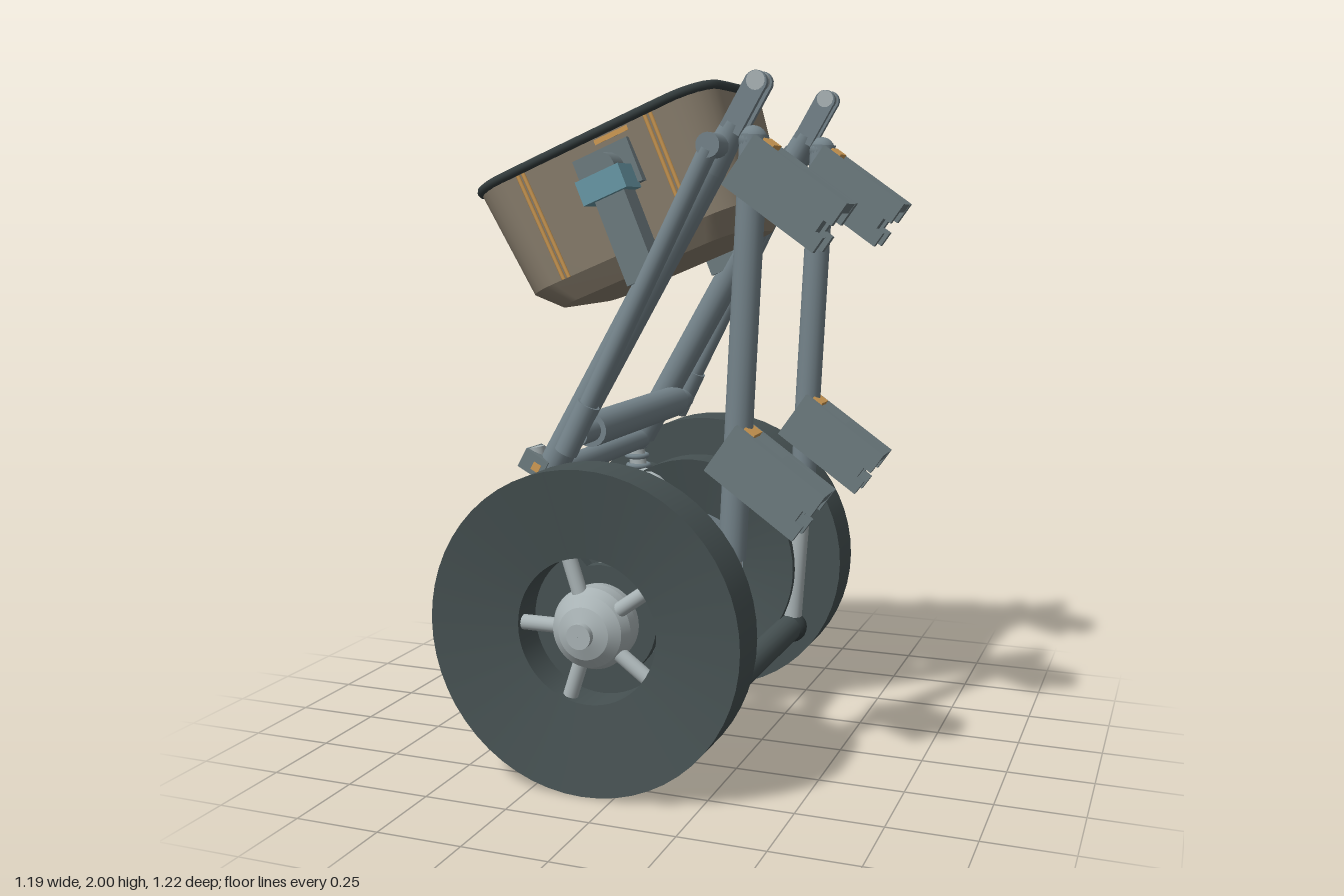
import * as THREE from 'three';

const mat = (name, color, side = THREE.FrontSide) => {
  const m = new THREE.MeshStandardMaterial({ color, side });
  m.name = name;
  return m;
};
const V = (x, y, z) => new THREE.Vector3(x, y, z);

export function createModel() {
  const steel = mat('steel grey', 0x74838a);
  const plate = mat('plate grey', 0x6d7b7f);
  const light = mat('light metal', 0xa9b3b5);
  const tyre = mat('tyre grey', 0x465152, THREE.DoubleSide);
  const dark = mat('dark trim', 0x343d3e);
  const tan = mat('tub tan', 0x8b806f, THREE.DoubleSide);
  const liner = mat('liner grey', 0x4c5857, THREE.DoubleSide);
  const orange = mat('orange accent', 0xcf9b54);
  const teal = mat('teal clamp', 0x6898a6);

  const root = new THREE.Group();
  root.name = 'wheeledCarrier';
  const add = (parent, name, geo, m, x = 0, y = 0, z = 0) => {
    const mesh = new THREE.Mesh(geo, m);
    mesh.name = name;
    mesh.position.set(x, y, z);
    parent.add(mesh);
    return mesh;
  };
  const box = (p, name, m, w, h, d, x, y, z) => add(p, name, new THREE.BoxGeometry(w, h, d), m, x, y, z);
  // place a mesh built along y between two points
  const aim = (mesh, a, b) => {
    mesh.position.copy(a).add(b).multiplyScalar(0.5);
    mesh.quaternion.setFromUnitVectors(V(0, 1, 0), b.clone().sub(a).normalize());
    return mesh;
  };
  const rod = (p, name, m, a, b, r, r2 = r, seg = 18) =>
    aim(add(p, name, new THREE.CylinderGeometry(r2, r, a.distanceTo(b), seg), m), a, b);
  const ball = (p, name, m, c, r) => add(p, name, new THREE.SphereGeometry(r, 18, 12), m, c.x, c.y, c.z);

  // ---- wheels: profiles are [radius, distance from the middle] ----
  const CX = -0.09, CY = 0.467;
  const spin = (p, name, m, pts, s) => {
    const g = new THREE.LatheGeometry(pts.map(([r, z]) => new THREE.Vector2(r, z)), 56);
    const mesh = add(p, name, g.toNonIndexed(), m, CX, CY, 0);
    mesh.rotation.x = s * Math.PI / 2;
    // keep the profile edges crisp while the surface stays round
    const pos = mesh.geometry.attributes.position, nor = mesh.geometry.attributes.normal;
    const a = V(), b = V(), c = V();
    for (let i = 0; i < pos.count; i += 3) {
      a.fromBufferAttribute(pos, i); b.fromBufferAttribute(pos, i + 1); c.fromBufferAttribute(pos, i + 2);
      const n = b.clone().sub(a).cross(c.clone().sub(a)).normalize();
      const mid = a.clone().add(b).add(c), rm = Math.hypot(mid.x, mid.z) || 1;
      const nr = (n.x * mid.x + n.z * mid.z) / rm;
      [a, b, c].forEach((q, k) => {
        const r = Math.hypot(q.x, q.z) || 1;
        nor.setXYZ(i + k, q.x / r * nr, n.y, q.z / r * nr);
      });
    }
  };

  function wheel(s) {
    const g = new THREE.Group();
    g.name = s > 0 ? 'leftWheel' : 'rightWheel';
    root.add(g);
    spin(g, 'outerTyre', tyre, [[0.21, 0.45], [0.465, 0.45], [0.465, 0.60], [0.21, 0.56], [0.21, 0.45]], s);
    spin(g, 'innerTyre', tyre, [[0.165, 0.335], [0.347, 0.298], [0.347, 0.41], [0.165, 0.41], [0.165, 0.335]], s);
    spin(g, 'hub', light, [[0.001, 0.275], [0.06, 0.28], [0.09, 0.31], [0.1, 0.36], [0.118, 0.48], [0.118, 0.52],
      [0.104, 0.553], [0.075, 0.578], [0.036, 0.592], [0.036, 0.612], [0.001, 0.612]], s);
    rod(g, 'brakeDisc', steel, V(CX + 0.025, CY + 0.012, s * 0.37), V(CX + 0.025, CY + 0.012, s * 0.39), 0.15, 0.15, 32);
    for (let i = 0; i < 5; i++) {
      const t = (36 + 72 * i) * Math.PI / 180;
      const at = (r) => V(CX + r * Math.cos(t), CY + r * Math.sin(t), s * 0.525);
      rod(g, 'spoke', light, at(0.09), at(0.212), 0.022);
    }
    // flat swing arm between the two tyres
    const hi = V(-0.305, 0.695, s * 0.429), lo = V(CX, CY, s * 0.429);
    aim(add(g, 'swingArm', new THREE.BoxGeometry(0.15, hi.distanceTo(lo), 0.036), tyre), hi, lo);
    for (const [c, r] of [[hi, 0.075], [lo, 0.165]]) {
      rod(g, 'swingArmEnd', tyre, V(c.x, c.y, s * 0.411), V(c.x, c.y, s * 0.447), r, r, 32);
    }
  }

  // ---- clamp arm with a grooved face and notched end ----
  function holder(x, y, s) {
    const g = new THREE.Group();
    g.name = 'holder';
    g.position.set(x, y, s * 0.352);
    g.rotation.z = -0.615;
    root.add(g);
    const sh = new THREE.Shape();
    [[-0.156, -0.079], [0.156, -0.079], [0.156, -0.03], [0.13, -0.03], [0.13, 0.008], [0.156, 0.008],
      [0.156, 0.079], [-0.156, 0.079]].forEach(([a, b], i) => (i ? sh.lineTo(a, b) : sh.moveTo(a, b)));
    for (const z of [-0.06, 0.036]) {
      add(g, 'holderCheek', new THREE.ExtrudeGeometry(sh, { depth: 0.024, bevelEnabled: false }), plate, 0, 0, z);
    }
    box(g, 'holderCore', plate, 0.27, 0.13, 0.08, -0.015, -0.005, 0);
    box(g, 'holderTop', plate, 0.16, 0.03, 0.08, 0.075, 0.062, 0);
    box(g, 'holderMark', orange, 0.035, 0.014, 0.07, -0.118, 0.078, 0);
  }

  // ---- frame, one side ----
  function frameSide(s) {
    const g = new THREE.Group();
    g.name = s > 0 ? 'leftFrame' : 'rightFrame';
    root.add(g);
    const z = s * 0.352, zo = s * 0.437;
    // main sloping tube, tapering into a forked tip
    rod(g, 'mainTube', steel, V(-0.29, 0.88, z), V(0.2, 1.735, z), 0.044);
    rod(g, 'mainTubeTaper', steel, V(0.2, 1.735, z), V(0.272, 1.86, z), 0.044, 0.036);
    for (const o of [-0.024, 0.024]) {
      const prong = box(g, 'tipProng', steel, 0.062, 0.15, 0.018, 0.302, 1.905, z + o);
      prong.rotation.z = -0.523;
      rod(g, 'tipEnd', steel, V(0.338, 1.966, z + o - 0.009), V(0.338, 1.966, z + o + 0.009), 0.031);
    }
    rod(g, 'tipPin', light, V(0.338, 1.97, z - 0.034), V(0.338, 1.97, z + 0.034), 0.026);
    // outer link with pivots
    rod(g, 'outerLink', steel, V(-0.14, 1.07, zo), V(0.225, 1.79, zo), 0.027);
    rod(g, 'linkSleeve', steel, V(-0.2, 0.95, zo + s * 0.005), V(-0.13, 1.09, zo), 0.034);
    rod(g, 'linkPivot', steel, V(0.23, 1.8, s * 0.33), V(0.23, 1.8, s * 0.46), 0.034);
    rod(g, 'linkFoot', steel, V(-0.17, 1.0, s * 0.33), V(-0.17, 1.0, s * 0.435), 0.034);
    // rear leg, thinner at the bottom
    rod(g, 'rearLeg', steel, V(0.268, 0.66, z), V(0.325, 1.83, z), 0.04);
    rod(g, 'rearLegSlider', light, V(0.24, 0.265, z), V(0.27, 0.7, z), 0.03);
    ball(g, 'rearLegKnuckle', steel, V(0.322, 1.815, z), 0.04);
    ball(g, 'rearLegFoot', dark, V(0.24, 0.265, z), 0.05);
    // lower joint with a short damper and coil rings
    const j = box(g, 'lowerJoint', plate, 0.08, 0.06, 0.1, -0.325, 0.9, z);
    j.rotation.z = -0.5;
    const jm = box(g, 'jointMark', orange, 0.025, 0.025, 0.104, -0.315, 0.892, z);
    jm.rotation.z = -0.5;
    rod(g, 'damper', light, V(-0.295, 0.7, s * 0.36), V(-0.337, 0.945, s * 0.36), 0.028);
    for (let i = 0; i < 4; i++) {
      const coil = add(g, 'coil', new THREE.TorusGeometry(0.034, 0.009, 8, 20), steel, -0.302 - i * 0.006, 0.74 + i * 0.033, s * 0.36);
      coil.rotation.x = Math.PI / 2;
    }
    // curved arm down to the hub
    const path = new THREE.CatmullRomCurve3([V(-0.3, 0.735, s * 0.36), V(-0.24, 0.73, s * 0.305),
      V(-0.18, 0.68, s * 0.285), V(-0.12, 0.55, s * 0.284), V(CX, 0.4, s * 0.284)]);
    add(g, 'hubArm', new THREE.TubeGeometry(path, 24, 0.034, 12), light);
    rod(g, 'hubMount', steel, V(CX, CY, s * 0.255), V(CX, CY, s * 0.3), 0.06, 0.07, 28);
    holder(0.425, 1.672, s);
    holder(0.377, 0.892, s);
  }

  for (const s of [1, -1]) { wheel(s); frameSide(s); }

  // cross bars
  const cross = (name, m, x, y, r, h) => rod(root, name, m, V(x, y, -h), V(x, y, h), r);
  cross('upperCrossBar', steel, -0.17, 1.0, 0.05, 0.34);
  cross('lowerCrossBar', steel, -0.29, 0.87, 0.034, 0.34);
  cross('rearCrossBar', tyre, 0.235, 0.265, 0.043, 0.345);

  // ---- tilted tub ----
  const tub = new THREE.Group();
  tub.name = 'tub';
  tub.position.set(-0.207, 1.822, 0);
  tub.rotation.z = 0.393;
  root.add(tub);
  const N = 6;
  const ring = (hl, hw, r, y) => {
    const out = [];
    [[1, 1], [-1, 1], [-1, -1], [1, -1]].forEach(([sx, sz], q) => {
      for (let i = 0; i <= N; i++) {
        const t = (q + i / N) * Math.PI / 2;
        out.push(V(sx * (hl - r) + r * Math.cos(t), y, sz * (hw - r) + r * Math.sin(t)));
      }
    });
    return out;
  };
  // bands between successive rings, closed by a floor; each band keeps its own edge
  const loft = (rings) => {
    const p = [], idx = [], n = rings[0].length;
    for (let k = 0; k + 1 < rings.length; k++) {
      const o = p.length / 3;
      [...rings[k], ...rings[k + 1]].forEach((v) => p.push(v.x, v.y, v.z));
      for (let i = 0; i < n; i++) {
        const a = o + i, b = o + (i + 1) % n;
        idx.push(a, b, a + n, b, b + n, a + n);
      }
    }
    const last = rings[rings.length - 1], o = p.length / 3;
    last.forEach((v) => p.push(v.x, v.y, v.z));
    p.push(0, last[0].y, 0);
    for (let i = 0; i < n; i++) idx.push(o + i, o + (i + 1) % n, o + n);
    const g = new THREE.BufferGeometry();
    g.setAttribute('position', new THREE.Float32BufferAttribute(p, 3));
    g.setIndex(idx);
    g.computeVertexNormals();
    return g;
  };
  add(tub, 'tubShell', loft([ring(0.4, 0.3, 0.12, 0), ring(0.364, 0.272, 0.11, -0.335), ring(0.297, 0.235, 0.08, -0.4)]), tan);
  add(tub, 'tubLiner', loft([ring(0.385, 0.285, 0.11, 0), ring(0.345, 0.257, 0.1, -0.32), ring(0.28, 0.22, 0.07, -0.375)]), liner);
  const hoop = (name, m, pts, r) => add(tub, name,
    new THREE.TubeGeometry(new THREE.CatmullRomCurve3(pts, true, 'centripetal'), 120, r, 8, true), m);
  hoop('tubRim', dark, ring(0.398, 0.298, 0.12, 0.005), 0.014);
  hoop('rimPiping', tan, ring(0.391, 0.291, 0.115, 0.017), 0.003);

  for (const s of [1, -1]) {
    // paired piping strips down the tub sides
    for (const x of [-0.215, 0.215]) {
      for (const o of [-0.009, 0.009]) {
        rod(tub, 'sideStrip', orange, V(x + o, -0.01, s * 0.301), V(x * 0.97 + o, -0.335, s * 0.274), 0.006, 0.006, 8);
      }
      box(tub, 'innerTab', orange, 0.025, 0.02, 0.012, x, -0.03, s * 0.279);
    }
    box(tub, 'lowerTab', orange, 0.025, 0.02, 0.02, -0.215, -0.325, s * 0.245);
    // inside fittings
    rod(tub, 'floorRunner', dark, V(-0.2, -0.355, s * 0.192), V(0.2, -0.355, s * 0.192), 0.019);
    box(tub, 'innerPad', plate, 0.2, 0.07, 0.04, 0.035, -0.13, s * 0.256);
    box(tub, 'rimClip', orange, 0.11, 0.045, 0.062, 0.09, -0.004, s * 0.268);
    // side mount that carries the tub
    const m = new THREE.Group();
    m.name = 'tubMount';
    m.position.set(0.047, -0.02, s * 0.352);
    tub.add(m);
    box(m, 'mountBack', plate, 0.18, 0.13, 0.03, 0, -0.09, -s * 0.052);
    box(m, 'mountClamp', teal, 0.14, 0.07, 0.108, 0.005, -0.135, s * 0.006);
    box(m, 'mountArm', plate, 0.095, 0.28, 0.08, 0.01, -0.28, 0);
    const knob = add(m, 'mountKnob', new THREE.CylinderGeometry(0.05, 0.05, 0.085, 20), plate, 0.005, -0.09, -s * 0.008);
    knob.rotation.x = Math.PI / 2;
  }
  return root;
}
